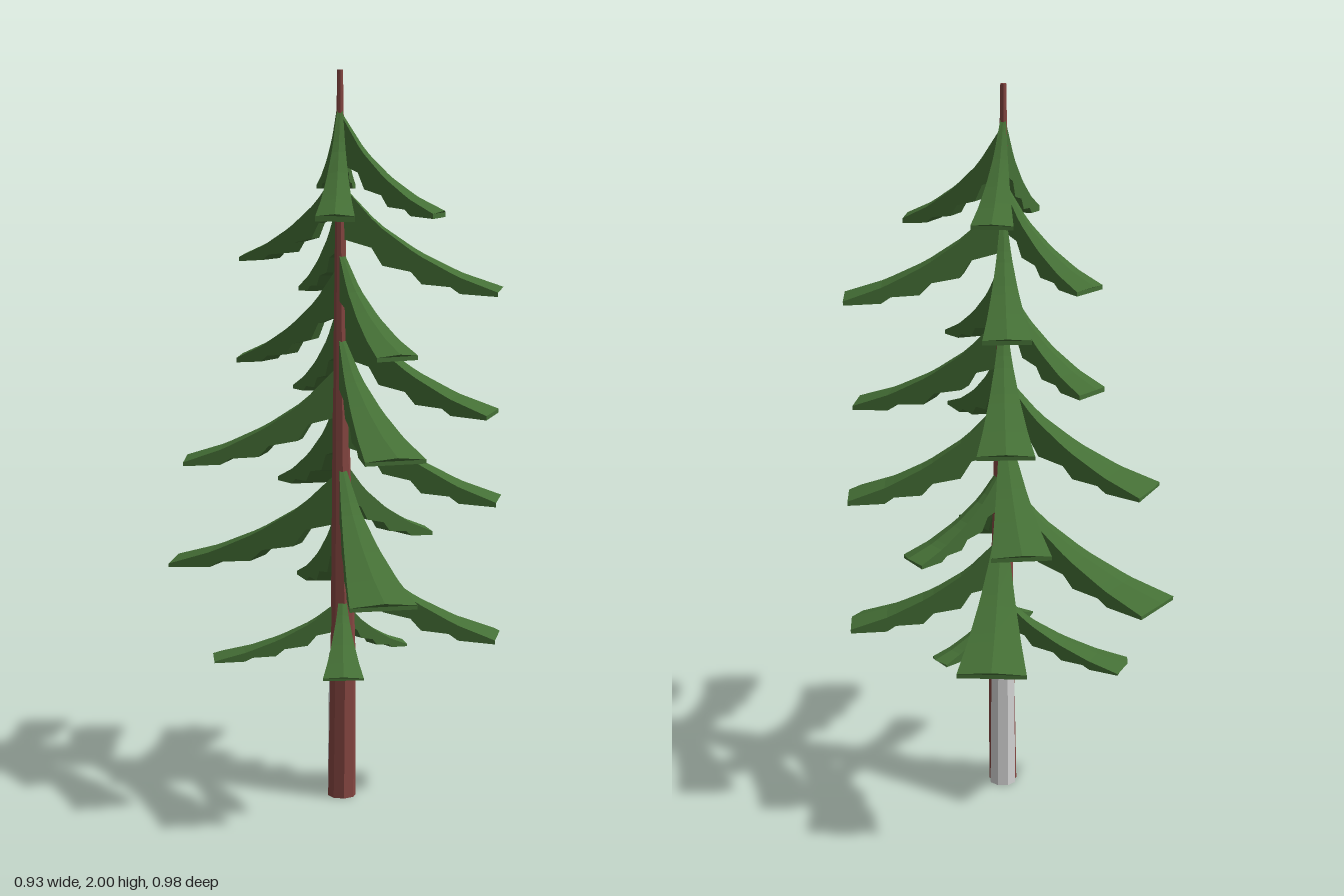
import * as THREE from 'three';

const green = new THREE.MeshStandardMaterial({ name: 'needleGreen', color: 0x457036 });
const brown = new THREE.MeshStandardMaterial({ name: 'barkBrown', color: 0x854641 });
const grey = new THREE.MeshStandardMaterial({ name: 'paleGrey', color: 0xd4d4d4 });

// Trunk centre line and radius: y, x, z, r
const TRUNK = [
  [0, 0.036, 0.022, 0.039], [0.4, 0.038, 0.018, 0.035], [1, 0.03, 0.01, 0.024],
  [1.6, 0.026, 0.005, 0.014], [2, 0.025, 0.004, 0.008],
];

// Branches: tip x, tip z, start height, lowest height at the tip
const BRANCHES = [
  // towards the back
  [-0.06, -0.295, 1.91, 1.67], [-0.115, -0.325, 1.65, 1.38], [-0.135, -0.385, 1.37, 1.09],
  [-0.18, -0.385, 1.12, 0.82], [-0.13, -0.478, 0.84, 0.52],
  // back left
  [0.217, -0.222, 0.95, 0.71], [0.168, -0.155, 0.56, 0.4],
  // left
  [0.32, 0.04, 1.89, 1.61], [0.46, -0.075, 1.7, 1.4], [0.465, 0.02, 1.38, 1.08],
  [0.46, -0.075, 1.14, 0.83], [0.46, -0.075, 0.74, 0.45],
  // towards the front
  [0.08, 0.287, 1.9, 1.61], [0.25, 0.265, 1.52, 1.25], [0.275, 0.405, 1.29, 1.0],
  [0.255, 0.46, 0.94, 0.63], [0.11, 0.31, 0.58, 0.4],
  // right
  [-0.267, -0.09, 1.74, 1.48], [-0.275, -0.085, 1.48, 1.2], [-0.415, -0.005, 1.21, 0.92],
  [-0.467, -0.08, 0.92, 0.62], [-0.325, 0.06, 0.56, 0.38],
];

// Stations along a branch: distance, top drop, stepped underside drop (all as fractions)
const STATIONS = [
  [0, 0, 0.5], [0.2, 0.31, 0.58], [0.27, 0.4, 0.74], [0.45, 0.58, 0.79],
  [0.52, 0.64, 0.9], [0.7, 0.77, 0.92], [0.76, 0.81, 0.98], [1, 0.93, 1],
];

function lerpTrunk(y) {
  const i = Math.max(1, TRUNK.findIndex((s) => s[0] >= y));
  const a = TRUNK[i - 1], b = TRUNK[i], t = (y - a[0]) / (b[0] - a[0]);
  return a.map((v, k) => v + (b[k] - v) * t);
}

// Flat-sided skin over cross-sections, closed at the far end
function skin(sections) {
  const pos = [];
  const tri = (a, b, c) => pos.push(...a, ...b, ...c);
  for (let i = 0; i < sections.length - 1; i++) {
    const s = sections[i], e = sections[i + 1], n = s.length;
    for (let j = 0; j < n; j++) {
      const k = (j + 1) % n;
      tri(s[j], s[k], e[k]);
      tri(s[j], e[k], e[j]);
    }
  }
  const end = sections[sections.length - 1];
  for (let j = 1; j < end.length - 1; j++) tri(end[0], end[j], end[j + 1]);
  const geo = new THREE.BufferGeometry();
  geo.setAttribute('position', new THREE.Float32BufferAttribute(pos, 3));
  geo.computeVertexNormals();
  return geo;
}

// Widening wedge with a soft ridge on top and steps underneath
function branchGeometry(length, drop) {
  return skin(STATIONS.map(([t, top, under]) => {
    const w = 0.007 + (0.178 * length - 0.007) * t;
    const x = length * t, side = x - 0.015 * t;
    const yTop = -drop * top, yEdge = yTop - 0.12 * w, yLow = -drop * under;
    return [[side, yEdge, -w], [x, yTop, 0], [side, yEdge, w], [side, yLow, w], [side, yLow, -w]];
  }));
}

function trunkGeometry() {
  const n = 8;
  const rings = TRUNK.map(([y, x, z, r]) => Array.from({ length: n }, (_, j) => {
    const a = -(j + 0.5) / n * Math.PI * 2;
    return [x + r * Math.cos(a), y, z - r * Math.sin(a)];
  }));
  // Reverse each ring so the faces look outwards
  return skin(rings.map((r) => r.reverse()));
}

export function createModel() {
  const tree = new THREE.Group();
  tree.name = 'pineTree';

  const trunk = new THREE.Mesh(trunkGeometry(), brown);
  trunk.name = 'trunk';
  tree.add(trunk);

  // Disc closing the trunk foot
  const foot = new THREE.Mesh(new THREE.CircleGeometry(0.038, 8), brown);
  foot.name = 'trunkFoot';
  foot.rotation.x = Math.PI / 2;
  foot.position.set(0.036, 0.001, 0.022);
  tree.add(foot);

  // Pale sleeve overlapping the back of the lower trunk
  const sleeve = new THREE.Mesh(new THREE.CylinderGeometry(0.034, 0.038, 0.4, 8).toNonIndexed(), grey);
  sleeve.geometry.computeVertexNormals();
  sleeve.name = 'trunkSleeve';
  sleeve.position.set(0.029, 0.2, 0.005);
  tree.add(sleeve);

  const branches = new THREE.Group();
  branches.name = 'branches';
  for (const [x, z, y0, y1] of BRANCHES) {
    const [, cx, cz] = lerpTrunk(y0);
    const dx = x - cx, dz = z - cz;
    const branch = new THREE.Mesh(branchGeometry(Math.hypot(dx, dz), y0 - y1), green);
    branch.name = 'branch';
    branch.position.set(cx, y0, cz);
    branch.rotation.y = Math.atan2(-dz, dx);
    branches.add(branch);
  }
  tree.add(branches);
  return tree;
}
